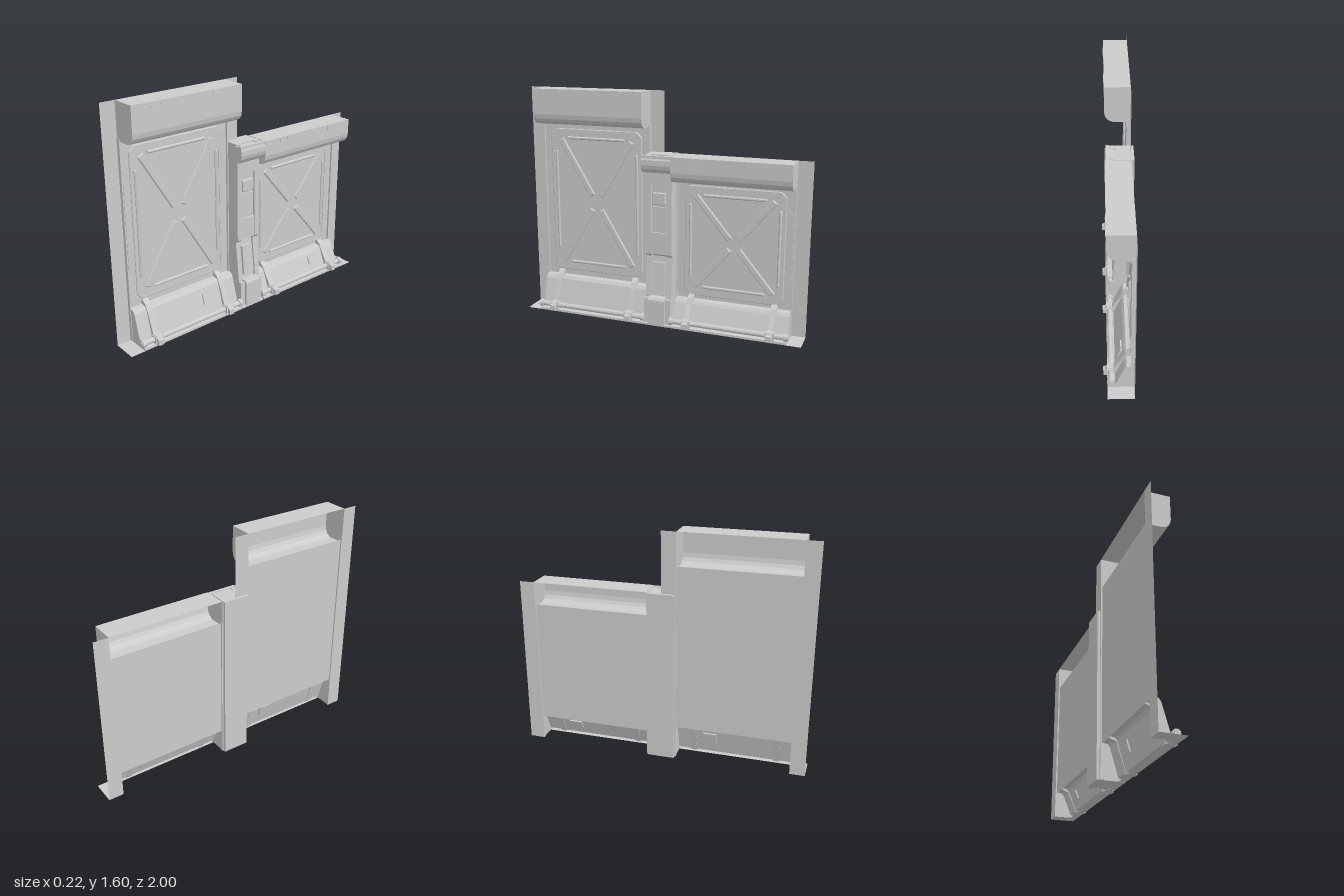
import * as THREE from 'three';

const mat = new THREE.MeshStandardMaterial({ color: 0xcccccc, side: THREE.DoubleSide, flatShading: true });

function add(parent, name, geo) {
  const m = new THREE.Mesh(geo, mat);
  m.name = name;
  parent.add(m);
  return m;
}
const shapeOf = pts => new THREE.Shape(pts.map(p => new THREE.Vector2(p[0], p[1])));

// Box given by its limits on each axis
function box(x0, x1, y0, y1, z0, z1) {
  return new THREE.BoxGeometry(x1 - x0, y1 - y0, z1 - z0)
    .translate((x0 + x1) / 2, (y0 + y1) / 2, (z0 + z1) / 2);
}
// Closed x-y profile run along z
function prism(pts, z0, z1) {
  return new THREE.ExtrudeGeometry(shapeOf(pts), { depth: z1 - z0, bevelEnabled: false }).translate(0, 0, z0);
}
// Open x-y profile run along z
function sheet(pts, z0, z1) {
  const pos = [];
  for (let i = 0; i + 1 < pts.length; i++) {
    const [a, b] = pts[i], [c, d] = pts[i + 1];
    pos.push(a, b, z0, a, b, z1, c, d, z1, a, b, z0, c, d, z1, c, d, z0);
  }
  const g = new THREE.BufferGeometry();
  g.setAttribute('position', new THREE.Float32BufferAttribute(pos, 3));
  g.computeVertexNormals();
  return g;
}
const endCap = (pts, z) => new THREE.ShapeGeometry(shapeOf(pts)).translate(0, 0, z);

// z-y outline given depth along x, with sloping edges
function relief(pts, x, depth, bevel, hole) {
  const flip = p => [-p[0], p[1]];
  const s = shapeOf(pts.map(flip));
  if (hole) s.holes.push(shapeOf(hole.map(flip)));
  return new THREE.ExtrudeGeometry(s, {
    depth, bevelEnabled: bevel > 0, bevelSize: bevel, bevelThickness: bevel, bevelSegments: 1,
  }).rotateY(Math.PI / 2).translate(x, 0, 0);
}
// Rectangle with cut corners in the z-y plane
function cutRect(z0, z1, y0, y1, c) {
  return [[z0 + c, y0], [z1 - c, y0], [z1, y0 + c], [z1, y1 - c],
    [z1 - c, y1], [z0 + c, y1], [z0, y1 - c], [z0, y0 + c]];
}
// Straight rib between two z-y points
function rib(a, b, w) {
  const dz = b[0] - a[0], dy = b[1] - a[1], l = Math.hypot(dz, dy);
  const nz = -dy / l * w / 2, ny = dz / l * w / 2;
  return relief([[a[0] + nz, a[1] + ny], [a[0] - nz, a[1] - ny],
    [b[0] - nz, b[1] - ny], [b[0] + nz, b[1] + ny]], -0.073, 0.005, 0.006);
}

// One wall bay; c is its middle on z, s the outward direction along z
function bay(name, c, s, o) {
  const g = new THREE.Group();
  g.name = name;
  const z0 = c - 0.4, z1 = c + 0.4, t = o.kick, h = o.top, b = o.under;

  // Edge strips and floor tile
  const outer = s > 0 ? [0.9, 1] : [-1, -0.9], inner = s > 0 ? [0, 0.1] : [-0.1, 0];
  for (const [a, e] of [outer, inner]) add(g, 'edgeStrip', sheet([[-0.09, 0], [-0.09, h]], a, e));
  add(g, 'floorTile', sheet([[-0.09, 0], [0.08, 0]], ...outer));

  // Rounded overhanging header, open at the back
  const head = [[-0.09, h], [0.08, h], [0.08, b + 0.07], [0.074, b + 0.04],
    [0.06, b + 0.018], [0.04, b + 0.006], [0.02, b], [-0.05, b], [-0.08, b + 0.015]];
  add(g, 'header', sheet(head, z0, z1));
  for (const z of [z0, z1]) add(g, 'headerEnd', endCap([...head, [-0.09, b + 0.01]], z));
  for (const z of o.clips) {
    add(g, 'headerClip', relief(cutRect(z - 0.04, z + 0.04, h - 0.035, h - 0.003, 0.004), 0.078, 0.005, 0,
      cutRect(z - 0.028, z + 0.028, h - 0.026, h - 0.01, 0.002)));
    add(g, 'clipBar', box(0.076, 0.081, h - 0.022, h - 0.014, z - 0.03, z + 0.03));
  }

  // Recessed field with its side returns
  add(g, 'field', sheet([[-0.08, t - 0.01], [-0.08, b + 0.015]], z0, z1));
  for (const z of [z0, z1]) add(g, 'fieldReturn', box(-0.09, -0.066, 0, b + 0.02, z - 0.004, z + 0.004));

  // Winged plate and cut-corner frame
  const y0 = o.frame[0], y1 = o.frame[1], w0 = o.wing[0], w1 = o.wing[1], n = 0.34, w = 0.39;
  const half = [[n - 0.03, y0], [n, y0 + 0.03], [n, w0 - 0.06], [w, w0], [w, w1], [n, w1 + 0.06], [n, y1 - 0.03], [n - 0.03, y1]];
  const mirrored = half.map(p => [-p[0], p[1]]).reverse();
  add(g, 'wingedPlate', relief([...half, ...mirrored].map(p => [c + p[0], p[1]]), -0.08, 0.007, 0));
  add(g, 'frame', relief(cutRect(c - 0.34, c + 0.34, y0, y1, 0.035), -0.074, 0.005, 0.004,
    cutRect(c - 0.325, c + 0.325, y0 + 0.015, y1 - 0.015, 0.03)));

  // Cross braces and thin border ribs
  const my = (y0 + y1) / 2, hy = (y1 - y0) / 2 - 0.06;
  for (const i of [-1, 1]) {
    for (const j of [-1, 1])
      add(g, 'crossBrace', rib([c + i * 0.035, my + j * hy * 0.12], [c + i * 0.265, my + j * hy * 0.97], 0.03));
    add(g, 'sideRib', rib([c + i * 0.305, my - hy * 0.78], [c + i * 0.305, my + hy * 0.78], 0.006));
    add(g, 'crossRib', rib([c - 0.21, my + i * hy], [c + 0.21, my + i * hy], 0.008));
  }

  // Sloping kick plate with a lip at the floor
  const kick = [[-0.08, t], [-0.04, t - 0.005], [-0.025, t - 0.025], [0.03, 0.02], [0.08, 0.015], [0.08, 0], [0.03, 0]];
  add(g, 'kickPlate', sheet(kick, z0, z1));
  for (const z of [z0, z1]) add(g, 'kickEnd', endCap([...kick, [-0.09, 0]], z));

  // Rail with collars, held by straps
  const pipe = add(g, 'rail', new THREE.CylinderGeometry(0.018, 0.018, 0.82, 12).rotateX(Math.PI / 2));
  pipe.position.set(0.057, 0.043, c + s * 0.005);
  for (const z of [c - 0.395, c + 0.395]) {
    const collar = add(g, 'railCollar', new THREE.CylinderGeometry(0.026, 0.026, 0.025, 12).rotateX(Math.PI / 2));
    collar.position.set(0.057, 0.043, z);
  }
  const strap = [[-0.08, t + 0.035], [-0.066, t + 0.035], [-0.035, t + 0.01], [-0.012, t - 0.03], [0.04, 0.07],
    [0.08, 0.07], [0.09, 0.055], [0.105, 0.05], [0.105, 0.012], [0.03, 0.012], [-0.03, t - 0.03], [-0.08, t - 0.01]];
  for (const z of [c - 0.29, c + 0.29]) {
    add(g, 'strap', prism(strap, z - 0.02, z + 0.02));
    add(g, 'strapClamp', box(0.035, 0.082, 0.014, 0.066, z - 0.03, z + 0.03));
  }

  // Small hatch lying on the kick plate
  const f = (o.hatchY - 0.02) / (t - 0.045);
  const hatch = add(g, 'hatch', new THREE.BoxGeometry(0.02, o.hatchH, 0.095));
  hatch.position.set(0.03 - 0.055 * f, o.hatchY, c - 0.17);
  hatch.rotation.z = Math.atan2(0.055, t - 0.045);
  return g;
}

// Centre post between the two bays
function post() {
  const g = new THREE.Group();
  g.name = 'centrePost';
  const profile = d => [[-0.11, 0], [0.035 - d, 0], [0.035 - d, 0.2], [0.005 - d, 0.48], [0.025 - d, 0.5], [0.025 - d, 1.185], [-0.11, 1.185]];
  add(g, 'postCore', prism(profile(0.016), -0.06, 0.06));
  for (const s of [-1, 1]) {
    const a = s * 0.055, b = s * 0.093;
    add(g, 'postRail', prism(profile(0), Math.min(a, b), Math.max(a, b)));
  }
  // Inset fittings of the shaft
  add(g, 'shaftTop', box(0, 0.022, 0.975, 1.08, -0.056, 0.056));
  add(g, 'shaftBottom', box(0, 0.022, 0.5, 0.65, -0.056, 0.056));
  add(g, 'shaftBlock', relief(cutRect(-0.043, 0.043, 0.85, 0.925, 0.004), 0.004, 0.02, 0.004));
  add(g, 'shaftLedge', box(0, 0.018, 0.8, 0.83, -0.05, 0.05));
  add(g, 'lowerPanel', prism([[0, 0.23], [0.034, 0.23], [0.012, 0.44], [-0.02, 0.44]], -0.043, 0.043));
  // Foot
  add(g, 'foot', prism([[0, 0], [0.08, 0], [0.08, 0.185], [0.07, 0.2], [0, 0.2]], -0.06, 0.06));
  for (const s of [-1, 1])
    add(g, 'footSide', box(0, 0.06, 0, 0.19, s * 0.077 - 0.018, s * 0.077 + 0.018));
  add(g, 'footPlate', relief(cutRect(-0.045, 0.045, 0.015, 0.175, 0.005), 0.078, 0.005, 0));
  add(g, 'footBase', box(-0.11, 0.08, 0, 0.012, -0.095, 0.095));
  // Rounded cap with top notches
  add(g, 'cap', prism([[0.01, 1.07], [0.055, 1.07], [0.073, 1.095], [0.08, 1.12], [0.08, 1.155],
    [0.068, 1.178], [0.04, 1.178], [0.01, 1.178]], -0.1, 0.105));
  add(g, 'capRidge', box(0.052, 0.074, 1.165, 1.185, -0.1, 0.105));
  for (const s of [-1, 1]) add(g, 'capLug', box(0.02, 0.05, 1.17, 1.184, s * 0.07 - 0.012, s * 0.07 + 0.012));
  return g;
}

export function createModel() {
  const model = new THREE.Group();
  model.name = 'wallSection';
  model.add(bay('tallBay', 0.5, 1, {
    top: 1.597, under: 1.355, kick: 0.24, frame: [0.285, 1.31], wing: [0.51, 1.08],
    clips: [0.73, 0.28], hatchY: 0.142, hatchH: 0.08,
  }));
  model.add(bay('lowBay', -0.5, -1, {
    top: 1.185, under: 1.01, kick: 0.18, frame: [0.21, 0.975], wing: [0.37, 0.82],
    clips: [-0.27, -0.72], hatchY: 0.105, hatchH: 0.06,
  }));
  model.add(post());
  return model;
}
